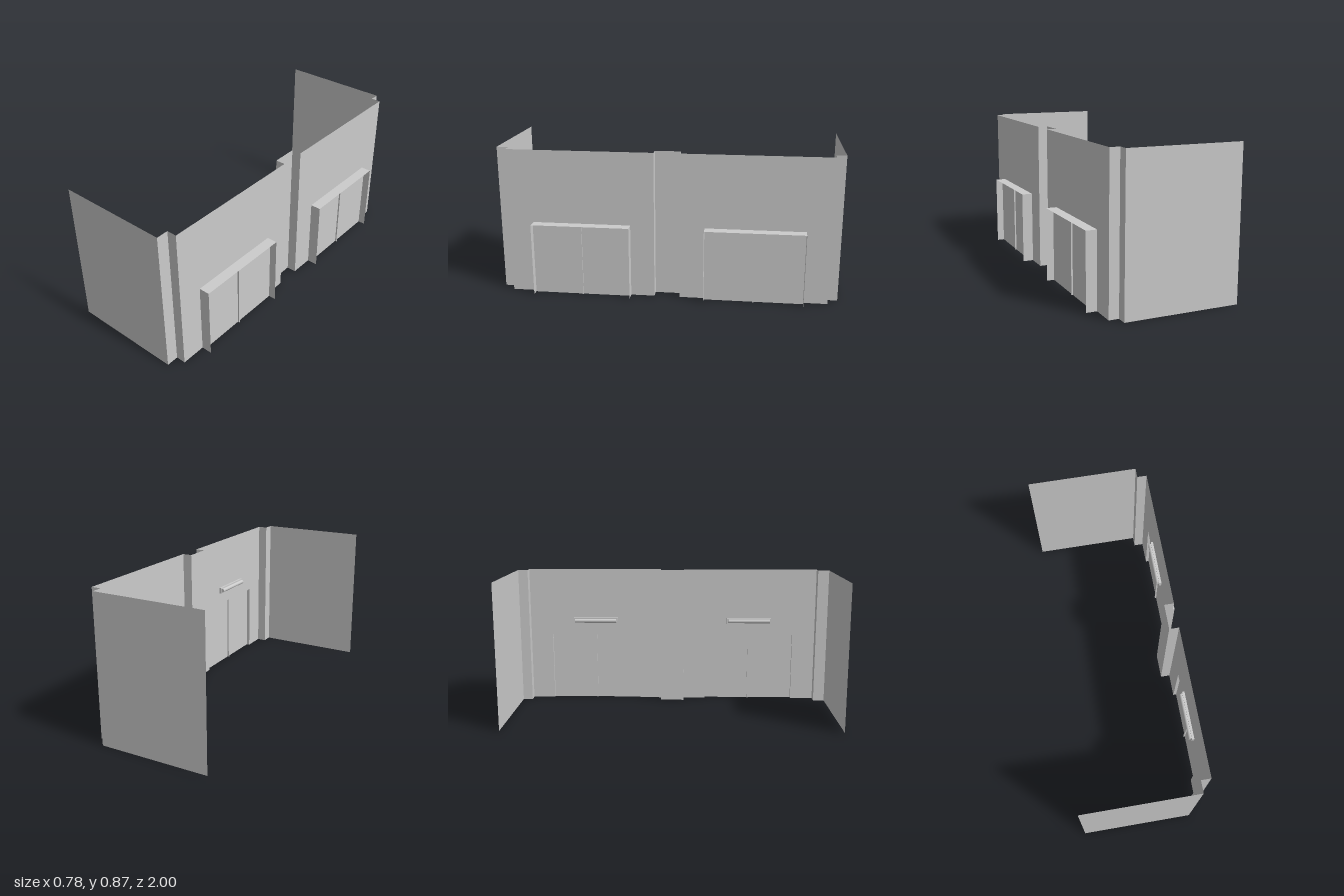
import * as THREE from 'three';

const H = 0.865;          // wall height
const X_IN = 0.27;        // plane of the recessed strips
const X_WALL = 0.327;     // plane of the main walls
const X_OUT = 0.39;       // outer edge of the door surrounds
const DOOR_H = 0.432, DOOR_HALF = 0.288;

const material = new THREE.MeshStandardMaterial({ color: 0xcccccc, side: THREE.DoubleSide });

function add(parent, name, geometry) {
  const mesh = new THREE.Mesh(geometry, material);
  mesh.name = name;
  parent.add(mesh);
  return mesh;
}

// Upright sheet between two floor points [x, z]
function sheet(parent, name, [x0, z0], [x1, z1], height = H) {
  const mesh = add(parent, name, new THREE.PlaneGeometry(Math.hypot(x1 - x0, z1 - z0), height));
  mesh.position.set((x0 + x1) / 2, height / 2, (z0 + z1) / 2);
  mesh.rotation.y = -Math.atan2(z1 - z0, x1 - x0);
}

// Box from its minimum and maximum corners
function box(parent, name, min, max) {
  const mesh = add(parent, name, new THREE.BoxGeometry(...max.map((v, i) => v - min[i])));
  mesh.position.set(...max.map((v, i) => (v + min[i]) / 2));
}

// Main wall with a doorway notched out of its lower edge
function doorWall(parent, zFront, zBack, zDoor) {
  const a = zDoor + DOOR_HALF, b = zDoor - DOOR_HALF;
  const outline = [[zFront, 0], [a, 0], [a, DOOR_H], [b, DOOR_H], [b, 0], [zBack, 0], [zBack, H], [zFront, H]];
  const shape = new THREE.Shape(outline.map(([z, y]) => new THREE.Vector2(-z, y)));
  const geometry = new THREE.ShapeGeometry(shape).rotateY(Math.PI / 2);
  add(parent, 'doorWall', geometry).position.x = X_WALL;
}

// Double door in a projecting surround, with a lamp on the inner wall above
function doorway(parent, z) {
  const group = new THREE.Group();
  group.name = 'doorway';
  group.position.z = z;
  parent.add(group);

  for (const s of [-1, 1]) {
    sheet(group, 'doorJamb', [X_WALL, s * DOOR_HALF], [X_OUT, s * DOOR_HALF], DOOR_H);
    sheet(group, 'doorLeaf', [0.346, s * DOOR_HALF], [0.346, s * 0.004], DOOR_H);
  }
  const top = add(group, 'doorHead', new THREE.PlaneGeometry(X_OUT - X_WALL, 2 * DOOR_HALF).rotateX(-Math.PI / 2));
  top.position.set((X_WALL + X_OUT) / 2, DOOR_H, 0);
  box(group, 'doorMeetingStrip', [0.337, 0, -0.004], [0.355, DOOR_H, 0.004]);

  box(group, 'lampBackplate', [0.313, 0.507, -0.145], [X_WALL, 0.545, 0.145]);
  const tube = add(group, 'lampTube', new THREE.CylinderGeometry(0.013, 0.013, 0.272, 16).rotateX(Math.PI / 2));
  tube.position.set(0.309, 0.526, 0);
}

export function createModel() {
  const model = new THREE.Group();
  model.name = 'buildingFacade';

  // End walls
  for (const z of [1, -1]) sheet(model, 'endWall', [-0.39, z], [X_IN, z]);

  // Recessed strips at the corners and the middle
  for (const [z0, z1] of [[1, 0.93], [0.07, -0.08], [-0.94, -1]]) {
    sheet(model, 'recessedStrip', [X_IN, z0], [X_IN, z1]);
  }
  // Short returns joining the strips to the main walls
  for (const z of [0.93, 0.07, -0.08, -0.94]) sheet(model, 'wallReturn', [X_IN, z], [X_WALL, z]);

  // Two bays, each a main wall with its doorway
  for (const [zFront, zBack, zDoor] of [[0.93, 0.07, 0.497], [-0.08, -0.94, -0.511]]) {
    doorWall(model, zFront, zBack, zDoor);
    doorway(model, zDoor);
  }
  return model;
}
